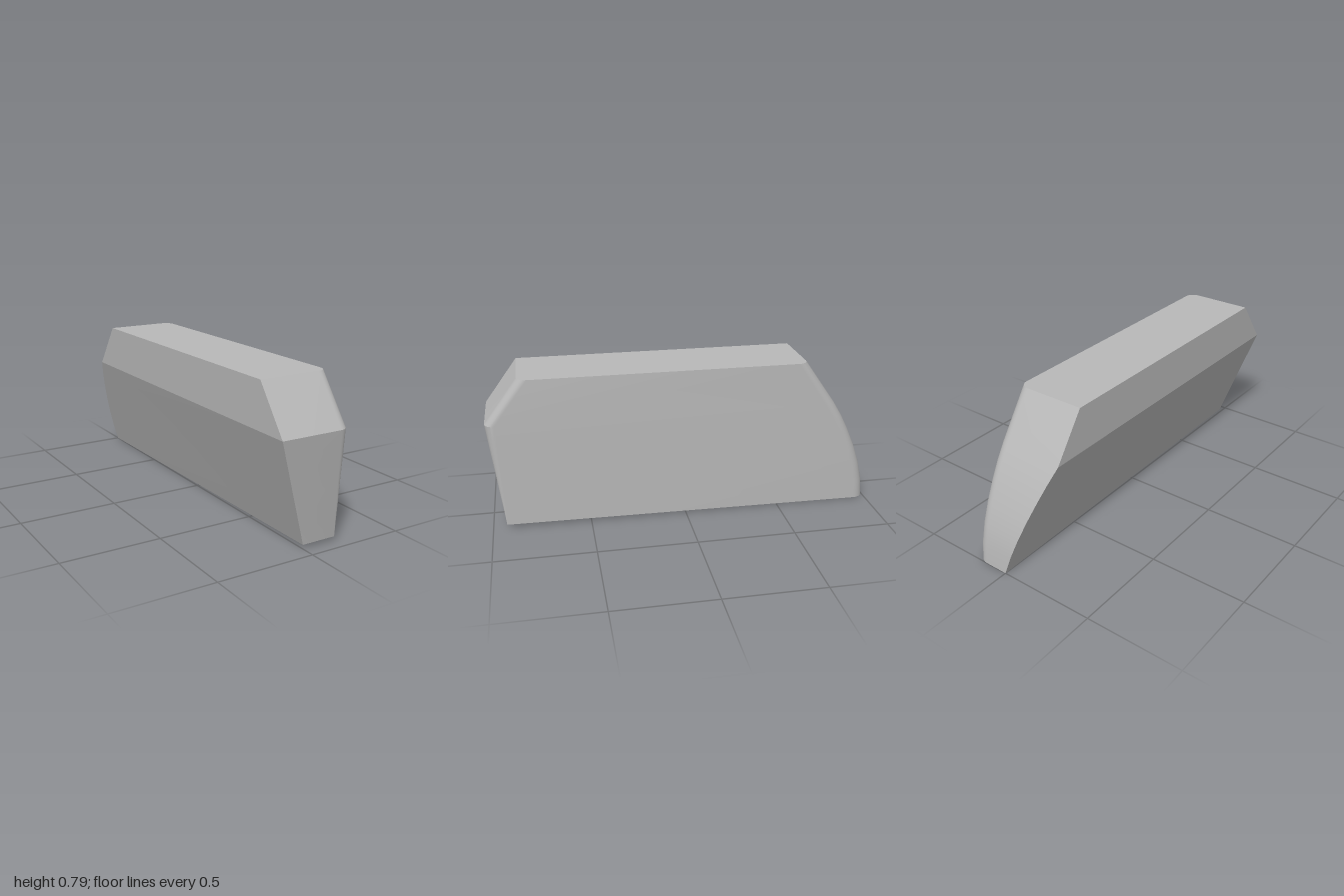
import * as THREE from 'three';
import { toCreasedNormals } from 'three/addons/utils/BufferGeometryUtils.js';

const RIGHT = 0.183;
const KNEE = 0.56; // height where the front and outer side bend

// Height, rear z, front z, rear corner radius, front corner radius
const LEVELS = [
  [0, -1, 0.93, 0.06, 0.002],
  [0.1, -0.99, 0.942, 0.06, 0.011],
  [0.2, -0.967, 0.955, 0.06, 0.019],
  [0.3, -0.932, 0.967, 0.059, 0.028],
  [0.4, -0.888, 0.98, 0.058, 0.036],
  [0.48, -0.847, 0.99, 0.057, 0.043],
  [KNEE, -0.798, 1, 0.056, 0.05],
  [0.79, -0.635, 0.83, 0.05, 0.05],
];
const STEPS = 8;

// One outline around the body, anticlockwise as seen from above
function outline([y, back, front, rBack, rFront]) {
  const fade = Math.max(0, 1 - y / KNEE);
  const left = -0.185 * (1 - fade);
  const points = [[left, back], [left, front]];
  for (let i = 0; i <= STEPS; i++) {
    const a = (i / STEPS) * Math.PI / 2;
    points.push([RIGHT - rFront + rFront * Math.sin(a), front - rFront + rFront * Math.cos(a)]);
  }
  for (let i = 0; i <= STEPS; i++) {
    const a = (i / STEPS) * Math.PI / 2;
    points.push([RIGHT - rBack + rBack * Math.cos(a), back + rBack - rBack * Math.sin(a)]);
  }
  // The underside rises slightly towards the front
  return points.map(([x, z]) => [x, y + fade * 0.02 * (z + 1) / 1.93, z]);
}

function bodyGeometry() {
  const rings = LEVELS.map(outline);
  const n = rings[0].length;
  const index = [];
  for (let r = 0; r < rings.length - 1; r++) {
    for (let i = 0; i < n; i++) {
      const j = (i + 1) % n;
      const a = r * n + i, b = r * n + j, c = a + n, d = b + n;
      index.push(a, b, d, a, d, c);
    }
  }
  // Flat underside and top
  const top = (rings.length - 1) * n;
  for (let i = 1; i < n - 1; i++) {
    index.push(0, i + 1, i);
    index.push(top, top + i, top + i + 1);
  }
  const geometry = new THREE.BufferGeometry();
  geometry.setAttribute('position', new THREE.Float32BufferAttribute(rings.flat(2), 3));
  geometry.setIndex(index);
  return toCreasedNormals(geometry, 0.27);
}

export function createModel() {
  const grey = new THREE.MeshStandardMaterial({ color: 0xb8b8b8 });
  grey.name = 'plain grey';
  const body = new THREE.Mesh(bodyGeometry(), grey);
  body.name = 'taperedBody';
  const model = new THREE.Group();
  model.name = 'taperedBlock';
  model.add(body);
  return model;
}
